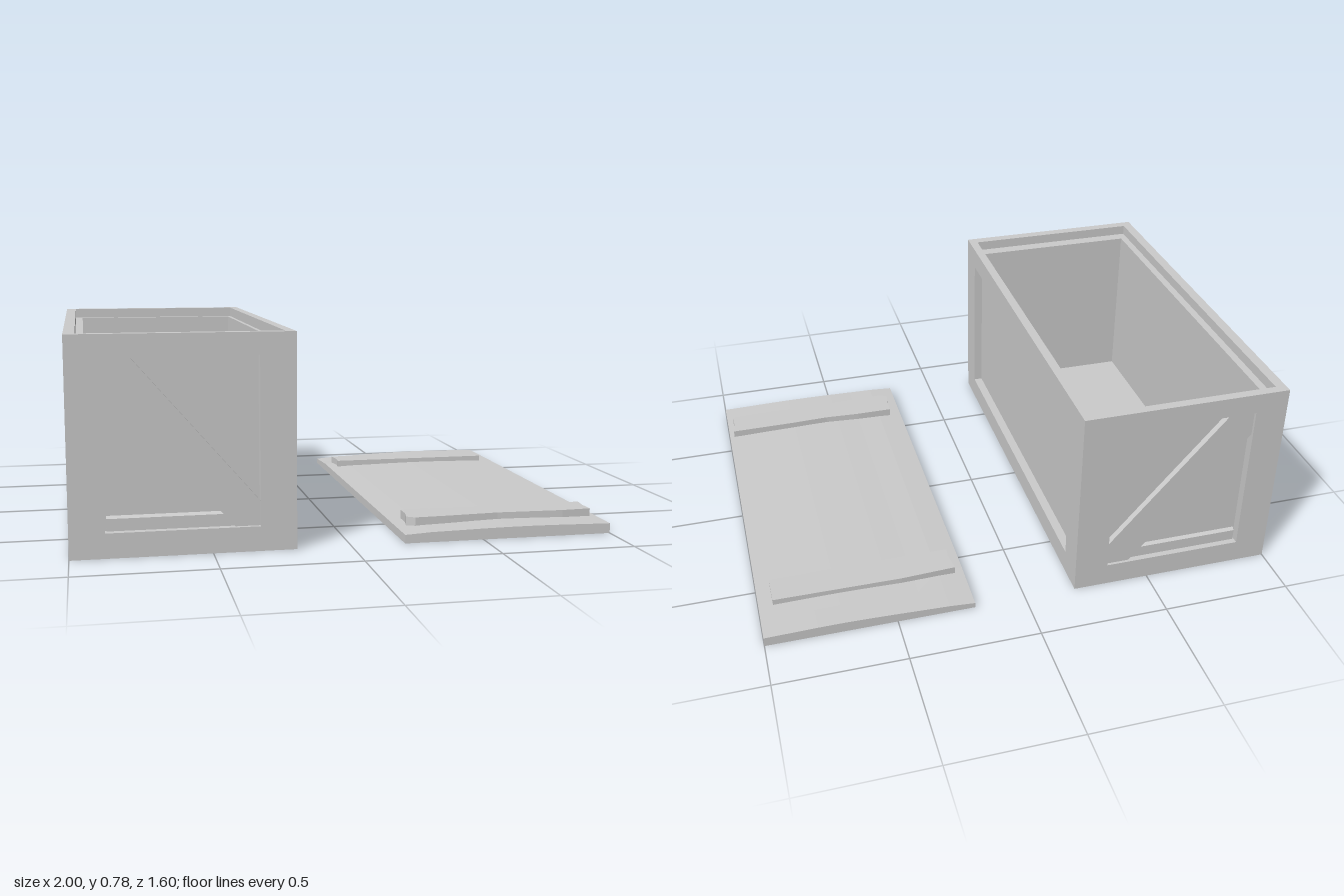
import * as THREE from 'three';

const grey = new THREE.MeshStandardMaterial({ color: 0xcccccc, flatShading: true });

const polygon = (pts, C = THREE.Shape) => new C(pts.map(([x, y]) => new THREE.Vector2(x, y)));
const rect = (x0, y0, x1, y1) => [[x0, y0], [x1, y0], [x1, y1], [x0, y1]];

// Flat outline with an optional hole, extruded from w0 to w1
function plate(name, outline, hole, w0, w1) {
  const shape = polygon(outline);
  if (hole) shape.holes.push(polygon([...hole].reverse(), THREE.Path));
  const geo = new THREE.ExtrudeGeometry(shape, { depth: w1 - w0, bevelEnabled: false });
  geo.translate(0, 0, w0);
  const mesh = new THREE.Mesh(geo, grey);
  mesh.name = name;
  return mesh;
}

function box(name, x0, x1, y0, y1, z0, z1) {
  const geo = new THREE.BoxGeometry(x1 - x0, y1 - y0, z1 - z0);
  geo.translate((x0 + x1) / 2, (y0 + y1) / 2, (z0 + z1) / 2);
  const mesh = new THREE.Mesh(geo, grey);
  mesh.name = name;
  return mesh;
}

function createCrate() {
  const crate = new THREE.Group();
  crate.name = 'crate';
  const H = 0.78, ledge = 0.74;
  const rim = { x0: -0.96, x1: -0.235, z0: -0.765, z1: 0.76 };
  const inner = { x0: -0.93, x1: -0.25, z0: -0.73, z1: 0.71 };

  // End frames, each with a diagonal brace and a low batten in its recess
  const endHole = rect(-0.875, 0.09, -0.33, 0.7);
  const brace = [[-0.875, 0.6], [-0.42, 0.09], [-0.33, 0.09], [-0.33, 0.18], [-0.78, 0.7], [-0.875, 0.7]];
  for (const [name, face, outer, sign] of [['front', rim.z1, 0.8, 1], ['back', rim.z0, -0.8, -1]]) {
    const span = (a, b) => [Math.min(a, b), Math.max(a, b)];
    crate.add(
      plate(name + 'Frame', rect(-1, 0, -0.2, H), endHole, ...span(face, outer)),
      plate(name + 'Brace', brace, null, ...span(face, face + sign * 0.024)),
    );
    // Batten with a sloping top edge
    const batten = plate(name + 'Batten',
      [[0, 0.09], [sign * 0.012, 0.09], [sign * 0.012, 0.134], [0, 0.143]], null, 0.34, 0.87);
    batten.rotation.y = -Math.PI / 2;
    batten.scale.x = 1;
    batten.position.z = face;
    crate.add(batten);
  }

  // Side frames
  const sideHole = rect(-0.68, 0.09, 0.68, 0.695);
  for (const [name, x0, x1] of [['left', rim.x1, -0.2], ['right', -1, rim.x0]]) {
    const frame = plate(name + 'Frame', rect(-rim.z1, 0, -rim.z0, H), sideHole, x0, x1);
    frame.rotation.y = Math.PI / 2;
    crate.add(frame);
  }

  // Bottom frame and floor
  const base = plate('bottomFrame', rect(rim.x0, -rim.z1, rim.x1, -rim.z0),
    rect(-0.93, -0.73, -0.27, 0.72), 0, 0.035);
  base.rotation.x = -Math.PI / 2;
  crate.add(base, box('floor', rim.x0, rim.x1, 0.035, 0.065, rim.z0, rim.z1));

  // Inner panels, stopping short of the rim to form the ledge for the lid
  crate.add(
    box('leftPanel', inner.x1, rim.x1, 0.035, ledge, rim.z0, rim.z1),
    box('rightPanel', rim.x0, inner.x0, 0.035, ledge, rim.z0, rim.z1),
    box('frontPanel', inner.x0, inner.x1, 0.035, ledge, inner.z1, rim.z1),
    box('backPanel', inner.x0, inner.x1, 0.035, ledge, rim.z0, inner.z0),
  );
  return crate;
}

function createLid() {
  const lid = new THREE.Group();
  lid.name = 'lid';

  // Board with a slightly warped top and worn back end
  const geo = new THREE.BoxGeometry(0.8, 0.04, 1.6, 8, 1, 16);
  geo.translate(0.6, 0.02, 0);
  const p = geo.attributes.position;
  for (let i = 0; i < p.count; i++) {
    const x = p.getX(i), z = p.getZ(i);
    if (p.getY(i) < 0.02) continue;
    const worn = Math.max(0, (-z - 0.6) / 0.2) * Math.max(0, 0.75 - x) * 0.02;
    const edge = x < 0.25 ? 0.005 : 0;
    p.setY(i, 0.04 + 0.003 * Math.sin(7 * x - 3) - worn - edge);
  }
  const board = new THREE.Mesh(geo, grey);
  board.name = 'lidBoard';
  lid.add(board);

  // Rough-cut battens, outlined in x and z
  const battens = {
    frontLidBatten: [0.068, [[0.25, 0.555], [0.4, 0.555], [0.55, 0.563], [0.72, 0.557], [0.98, 0.555],
      [0.972, 0.61], [0.975, 0.675], [0.86, 0.682], [0.6, 0.672], [0.4, 0.685], [0.27, 0.69], [0.24, 0.67], [0.25, 0.62]]],
    backLidBatten: [0.062, [[0.235, -0.625], [0.45, -0.635], [0.945, -0.63], [0.945, -0.51], [0.24, -0.51], [0.245, -0.55]]],
  };
  for (const [name, [top, pts]] of Object.entries(battens)) {
    const batten = plate(name, pts.map(([x, z]) => [x, -z]), null, 0.03, top);
    batten.rotation.x = -Math.PI / 2;
    lid.add(batten);
  }
  return lid;
}

export function createModel() {
  const model = new THREE.Group();
  model.name = 'crateWithLid';
  model.add(createCrate(), createLid());
  return model;
}
